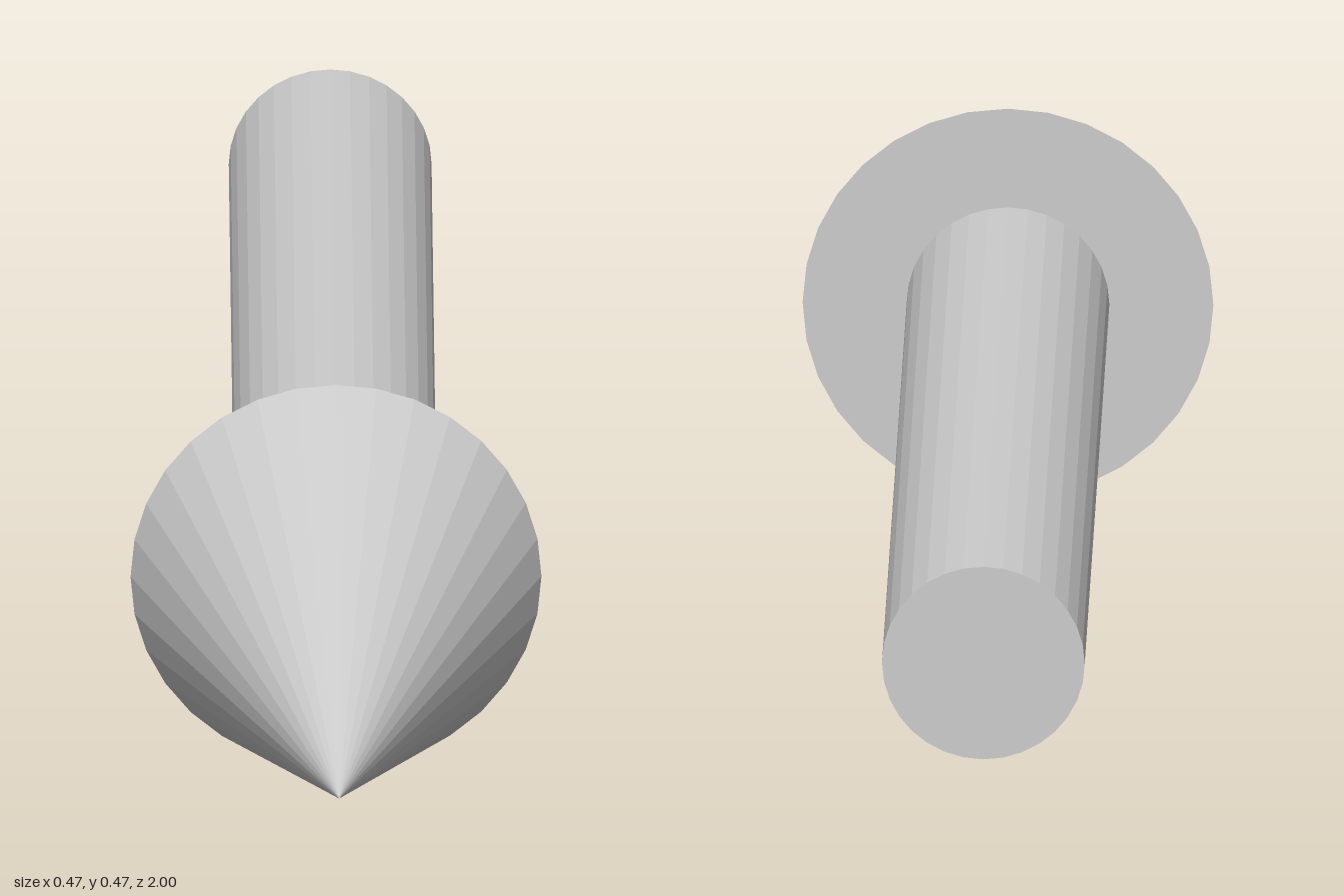
import * as THREE from 'three';

const SIDES = 32;
const HEAD_RADIUS = 0.235;
const SHAFT_RADIUS = 0.116;
const HEAD_BASE_Z = 0.3;

export function createModel() {
  const group = new THREE.Group();
  group.name = 'arrow';
  const material = new THREE.MeshStandardMaterial({ color: 0xcccccc, flatShading: true });

  // Adds a part whose axis runs along z, from zBack to zFront
  const addPart = (name, radiusFront, radiusBack, zBack, zFront) => {
    const geometry = new THREE.CylinderGeometry(radiusFront, radiusBack, zFront - zBack, SIDES);
    geometry.rotateX(Math.PI / 2);
    const mesh = new THREE.Mesh(geometry, material);
    mesh.name = name;
    mesh.position.set(0, HEAD_RADIUS, (zBack + zFront) / 2);
    group.add(mesh);
  };

  // Pointed head facing the front
  addPart('arrowHead', 0, HEAD_RADIUS, HEAD_BASE_Z, 1);
  // Straight round shaft behind it
  addPart('shaft', SHAFT_RADIUS, SHAFT_RADIUS, -1, HEAD_BASE_Z);

  return group;
}
